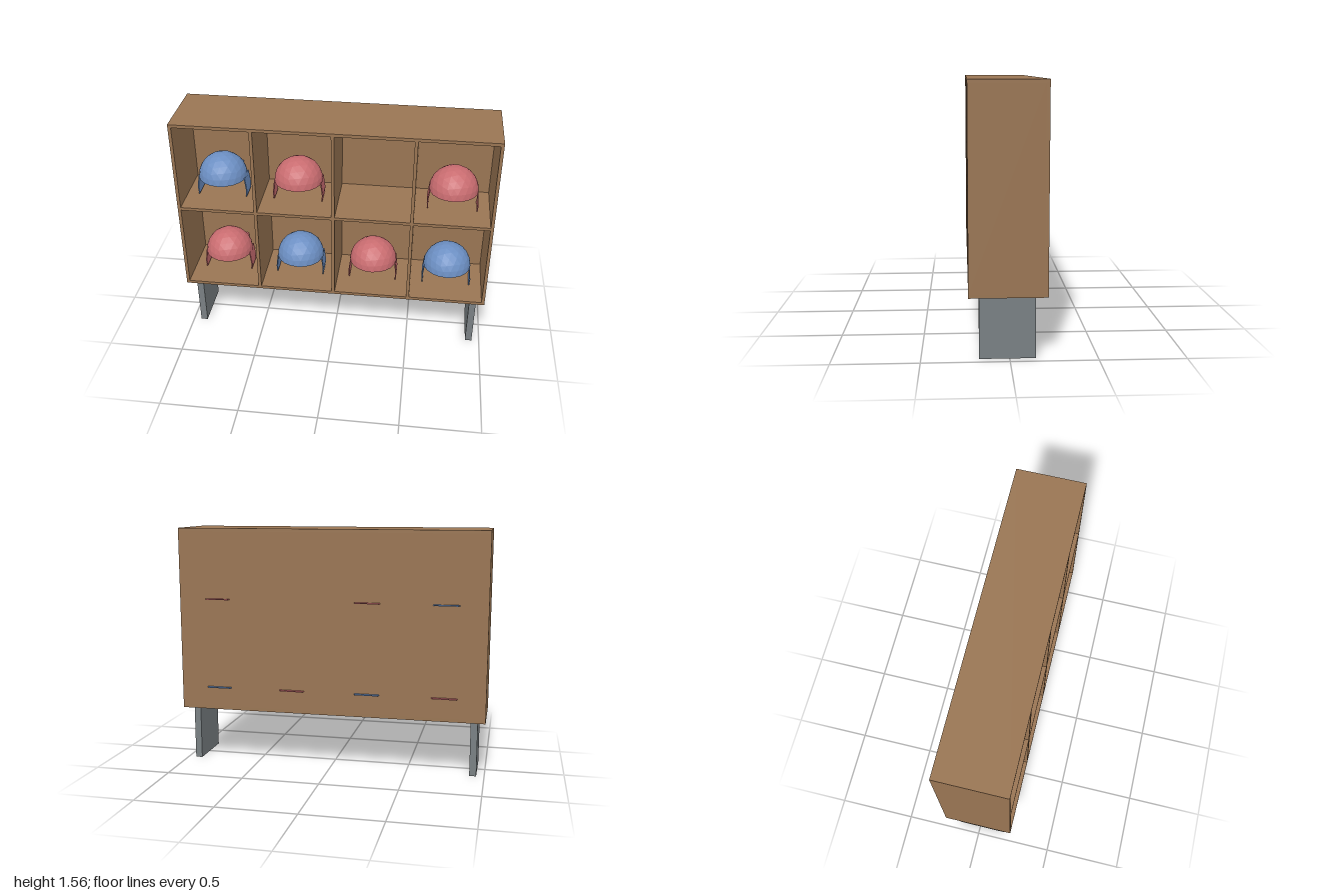
import * as THREE from 'three';

export function createModel() {
  const model = new THREE.Group();
  model.name = 'helmetRack';

  const mat = (name, color, side = THREE.FrontSide) => {
    const m = new THREE.MeshStandardMaterial({ color, side, flatShading: true });
    m.name = name;
    return m;
  };
  const wood = mat('wood brown', 0x997553);
  const metal = mat('leg grey', 0x798083);
  const red = mat('helmet red', 0xc96c70, THREE.DoubleSide);
  const blue = mat('helmet blue', 0x6c8fc3, THREE.DoubleSide);

  // Box given by its lower and upper corners
  const box = (name, material, [x0, y0, z0], [x1, y1, z1]) => {
    const mesh = new THREE.Mesh(new THREE.BoxGeometry(x1 - x0, y1 - y0, z1 - z0), material);
    mesh.position.set((x0 + x1) / 2, (y0 + y1) / 2, (z0 + z1) / 2);
    mesh.name = name;
    model.add(mesh);
  };

  // Cabinet shell
  const Y0 = 0.365, Y1 = 1.56, Z0 = -0.212, Z1 = 0.232, T = 0.02;
  box('bottomPanel', wood, [-1, Y0, Z0], [1, Y0 + T, Z1]);
  box('topPanel', wood, [-1, Y1 - T, Z0], [1, Y1, Z1]);
  box('backPanel', wood, [-1, Y0 + T, Z0], [1, Y1 - T, Z0 + T]);
  for (const s of [-1, 1]) {
    const xs = [s, s * (1 - T)].sort((a, b) => a - b);
    box('sidePanel', wood, [xs[0], Y0 + T, Z0 + T], [xs[1], Y1 - T, Z1]);
  }

  // Middle shelf and upright dividers
  box('shelf', wood, [-1 + T, 0.952, Z0 + T], [1 - T, 0.972, Z1]);
  for (const x of [-0.495, 0, 0.495]) {
    box('lowerDivider', wood, [x - 0.01, Y0 + T, Z0 + T], [x + 0.01, 0.952, Z1]);
    box('upperDivider', wood, [x - 0.01, 0.972, Z0 + T], [x + 0.01, Y1 - T, Z1]);
  }

  // Slab legs
  for (const x of [-0.928, 0.928]) {
    box('leg', metal, [x - 0.022, 0, -0.147], [x + 0.022, Y0, 0.173]);
  }

  // Faceted dome: upper half of an icosphere standing on a corner
  const R = 0.157;
  const domeGeometry = () => {
    const ico = new THREE.IcosahedronGeometry(R, 3);
    ico.rotateZ(Math.atan(2 / (1 + Math.sqrt(5))));
    const p = ico.attributes.position, kept = [];
    for (let i = 0; i < p.count; i += 3) {
      if (p.getY(i) + p.getY(i + 1) + p.getY(i + 2) < 0.001) continue;
      for (let k = i; k < i + 3; k++) kept.push(p.getX(k), p.getY(k), p.getZ(k));
    }
    const g = new THREE.BufferGeometry();
    g.setAttribute('position', new THREE.Float32BufferAttribute(kept, 3));
    g.computeVertexNormals();
    return g;
  };
  const dome = domeGeometry();

  // Tapered brim reaching back through the panel
  const brimShape = new THREE.Shape([
    [-0.12, 0.1], [0.12, 0.1], [0.082, 0.225], [0.072, 0.244], [-0.072, 0.244], [-0.082, 0.225],
  ].map(([x, y]) => new THREE.Vector2(x, y)));
  const brim = new THREE.ExtrudeGeometry(brimShape, { depth: 0.007, bevelEnabled: false });
  brim.rotateX(-Math.PI / 2);
  brim.translate(0, -0.007, 0);

  // Ear flap: thin bowed section run from front to back
  const flapShape = new THREE.Shape([
    [0.146, 0.01], [0.152, 0.01], [0.163, -0.08], [0.159, -0.122], [0.153, -0.122], [0.156, -0.08],
  ].map(([x, y]) => new THREE.Vector2(x, y)));
  const flap = new THREE.ExtrudeGeometry(flapShape, { depth: 0.12, bevelEnabled: false });
  flap.translate(0, 0, -0.065);

  const addHelmet = (x, y, material) => {
    const helmet = new THREE.Group();
    helmet.name = 'helmet';
    const add = (name, geometry) => {
      const mesh = new THREE.Mesh(geometry, material);
      mesh.name = name;
      helmet.add(mesh);
      return mesh;
    };
    add('dome', dome);
    add('brim', brim);
    add('leftEarFlap', flap);
    add('rightEarFlap', flap).scale.x = -1;
    helmet.position.set(x, y, 0.012);
    model.add(helmet);
  };

  // Helmets in their cells, one cell left empty
  const columns = [-0.742, -0.247, 0.247, 0.742];
  const rows = [[1.106, [blue, red, null, red]], [0.519, [red, blue, red, blue]]];
  for (const [y, colours] of rows) {
    colours.forEach((c, i) => { if (c) addHelmet(columns[i], y, c); });
  }

  return model;
}
